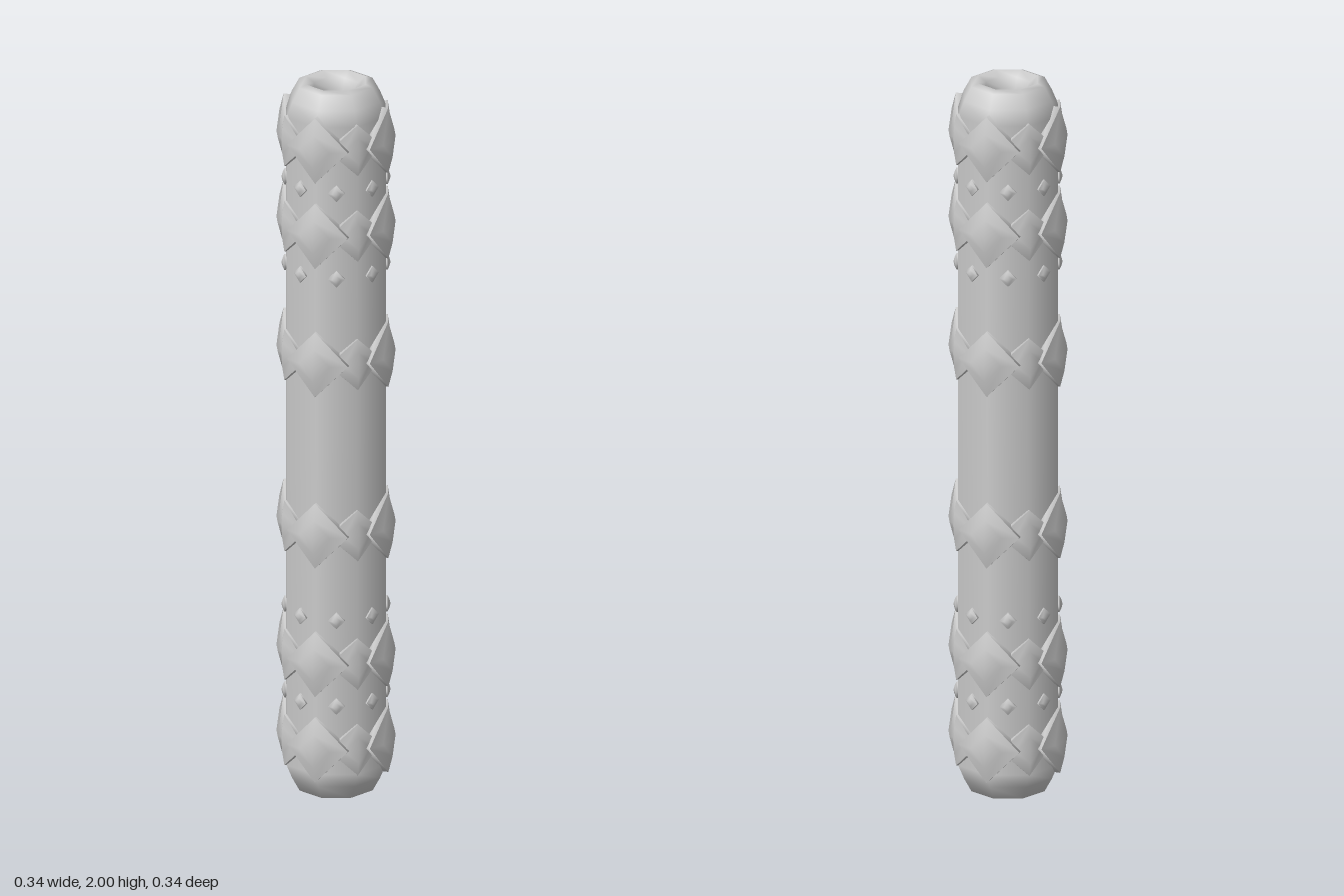
import * as THREE from 'three';

const SIDES = 8;

// Diamond stud facing +z: a sunken skirt, a rim, a slightly bulged ring and an apex.
// w, h: half width and height; distances from the tube axis: apex, side (left and
// right corners), tip (top and bottom corners), sink (how deep the skirt goes).
function studGeometry({ w, h, apex, side, tip, sink, bulge }) {
  const corners = [[w, 0, side], [0, h, tip], [-w, 0, side], [0, -h, tip]];
  const pos = [], index = [];
  const addRing = (f) => corners.forEach((c) => pos.push(...f(c)));
  addRing(([x, y, z]) => [x, y, z - sink]);                                // skirt bottom
  addRing((c) => c);                                                       // skirt top
  addRing((c) => c);                                                       // face rim
  addRing(([x, y, z]) => [x / 2, y / 2, (apex + z) / 2 + bulge]);          // bulge
  pos.push(0, 0, apex);
  for (let i = 0; i < 4; i++) {
    const j = (i + 1) % 4;
    for (const r of [0, 8]) {
      index.push(r + i, r + j, r + 4 + j, r + i, r + 4 + j, r + 4 + i);
    }
    index.push(12 + i, 12 + j, 16);
  }
  const g = new THREE.BufferGeometry();
  g.setAttribute('position', new THREE.Float32BufferAttribute(pos, 3));
  g.setIndex(index);
  g.computeVertexNormals();
  return g;
}

export function createModel() {
  const model = new THREE.Group();
  model.name = 'studdedTube';
  const grey = new THREE.MeshStandardMaterial({ color: 0xcccccc });
  grey.name = 'grey';

  // Hollow eight-sided tube with rounded rims, half profile mirrored top to bottom
  const upper = [
    [0.143, 1.915], [0.126, 1.955], [0.105, 1.993], [0.085, 2.0],
    [0.063, 1.985], [0.05, 1.96], [0.045, 1.92],
  ];
  const lower = upper.map(([r, y]) => [r, 2 - y]).reverse();
  const profile = [...lower, ...upper, lower[0]].map(([r, y]) => new THREE.Vector2(r, y));
  const tube = new THREE.Mesh(new THREE.LatheGeometry(profile, SIDES), grey);
  tube.name = 'tube';
  model.add(tube);

  const large = studGeometry({ w: 0.087, h: 0.092, apex: 0.168, side: 0.132, tip: 0.15, sink: 0.028, bulge: 0.003 });
  const medium = studGeometry({ w: 0.075, h: 0.072, apex: 0.157, side: 0.125, tip: 0.149, sink: 0.02, bulge: 0.002 });
  const small = studGeometry({ w: 0.023, h: 0.023, apex: 0.145, side: 0.137, tip: 0.137, sink: 0.01, bulge: 0.001 });

  // Ring of studs around the tube
  function addBand(name, y, offset, pick) {
    const band = new THREE.Group();
    band.name = name;
    band.position.y = y;
    for (let i = 0; i < SIDES; i++) {
      const stud = new THREE.Mesh(pick(i), grey);
      stud.name = 'stud';
      stud.rotation.y = offset + (i * Math.PI * 2) / SIDES;
      band.add(stud);
    }
    model.add(band);
  }

  // Large studs on the axes alternate with medium ones on the diagonals
  for (const d of [0.242, 0.605, 0.847]) {
    for (const s of [-1, 1]) {
      addBand('diamondBand', 1.004 + s * d, 0, (i) => (i % 2 ? medium : large));
    }
  }
  // Small studs in the middle of each flat side
  for (const d of [0.483, 0.725]) {
    for (const s of [-1, 1]) {
      addBand('smallStudBand', 1.004 + s * d, Math.PI / SIDES, () => small);
    }
  }
  return model;
}
